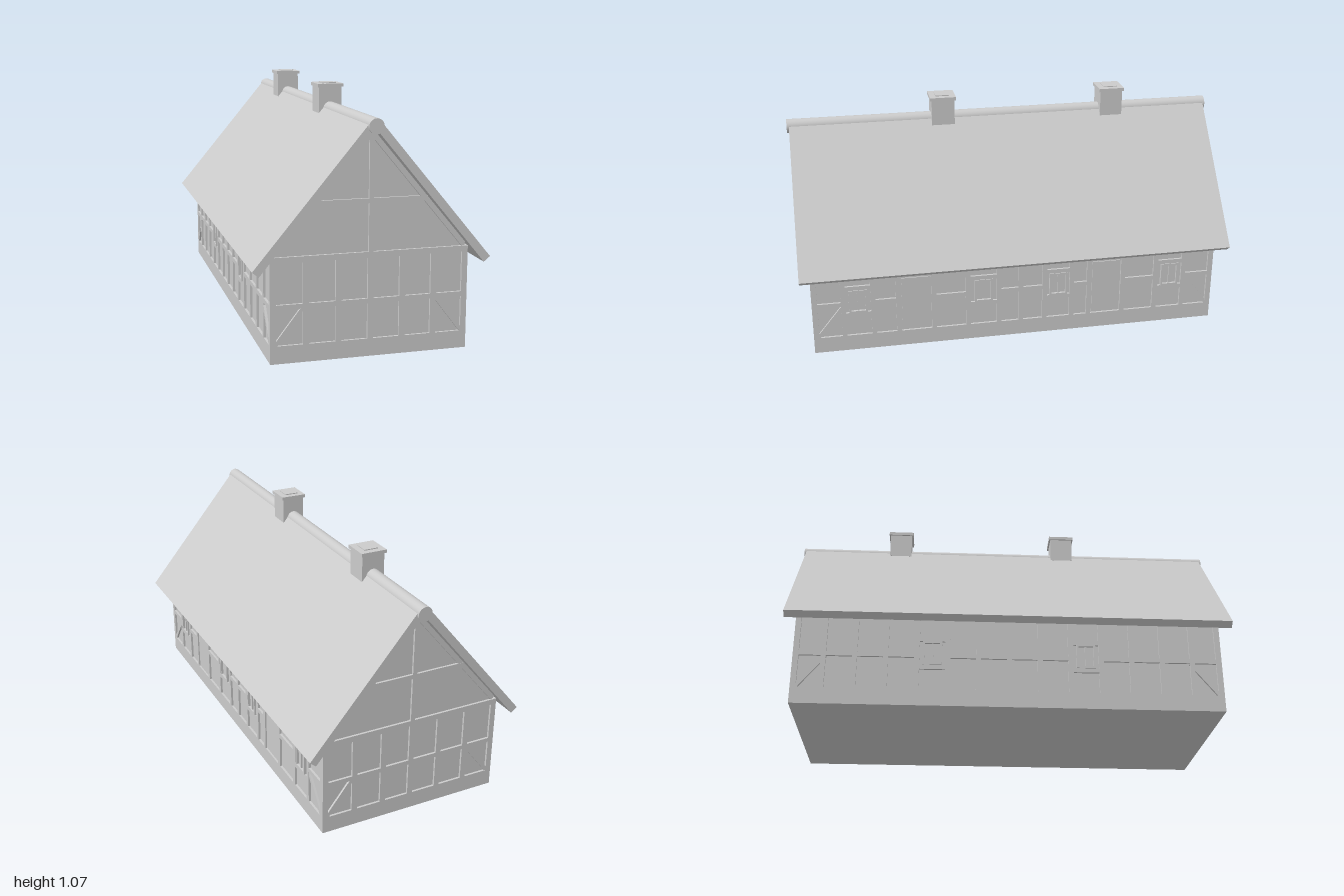
import * as THREE from 'three';

const material = new THREE.MeshStandardMaterial({ color: 0xcccccc, flatShading: true });
const smooth = new THREE.MeshStandardMaterial({ color: 0xcccccc });
const DEPTH = 0.01; // how far the timbers stand out from the infill
const T = 0.025;    // timber width

function add(parent, name, geometry, mat = material) {
  const mesh = new THREE.Mesh(geometry, mat);
  mesh.name = name;
  parent.add(mesh);
  return mesh;
}

function box(parent, name, x0, x1, y0, y1, z0, z1) {
  const mesh = add(parent, name, new THREE.BoxGeometry(x1 - x0, y1 - y0, z1 - z0));
  mesh.position.set((x0 + x1) / 2, (y0 + y1) / 2, (z0 + z1) / 2);
  return mesh;
}

// Outline in x and y pulled along z, centred on z = 0
function prism(parent, name, points, length) {
  const shape = new THREE.Shape(points.map(([x, y]) => new THREE.Vector2(x, y)));
  const geometry = new THREE.ExtrudeGeometry(shape, { depth: length, bevelEnabled: false });
  geometry.translate(0, 0, -length / 2);
  return add(parent, name, geometry);
}

// Flat timber on a wall; wall-local x runs along it and z = 0 is the infill
const timber = (wall, name, x0, x1, y0, y1, d = DEPTH) =>
  box(wall, name, x0, x1, y0, y1, -0.005, d);

// Slanting timber between two points of a wall
function brace(wall, name, [x0, y0], [x1, y1], width) {
  const length = Math.hypot(x1 - x0, y1 - y0);
  const mesh = add(wall, name, new THREE.BoxGeometry(length, width, DEPTH));
  mesh.position.set((x0 + x1) / 2, (y0 + y1) / 2, DEPTH / 2 - 0.0005);
  mesh.rotation.z = Math.atan2(y1 - y0, x1 - x0);
}

function makeWall(house, name, turn, distance) {
  const wall = new THREE.Group();
  wall.name = name;
  wall.rotation.y = turn;
  wall.position.set(Math.sin(turn) * distance, 0, Math.cos(turn) * distance);
  house.add(wall);
  return wall;
}

// Sill, corner posts, top plate and the braces in the lower outer bays
function outerFrame(wall, half, bay) {
  timber(wall, 'sill', -half, half, 0, 0.075);
  timber(wall, 'topPlate', -half, half, 0.415, 0.44);
  for (const s of [-1, 1]) {
    const inner = half - T;
    timber(wall, 'cornerPost', Math.min(s * half, s * inner), Math.max(s * half, s * inner), 0.075, 0.43);
    brace(wall, 'cornerBrace', [s * (inner + 0.005), 0.075], [s * (half - bay), 0.225], 0.016);
  }
}

function makeGable(house, name, turn) {
  const wall = makeWall(house, name, turn, 0.935);
  outerFrame(wall, 0.42, 0.135);
  for (let i = -2; i <= 2; i++) {
    const x = i * 0.1355;
    timber(wall, 'post', x - T / 2, x + T / 2, 0.075, 0.415);
  }
  timber(wall, 'midRail', -0.4, 0.4, 0.225, 0.245);
  timber(wall, 'kingPost', -0.01, 0.01, 0.44, 0.92);
  timber(wall, 'collarBeam', -0.24, 0.24, 0.64, 0.66);
  for (const s of [-1, 1]) brace(wall, 'rakeBeam', [s * 0.4, 0.448], [s * 0.004, 0.92], 0.022);
}

// Framed opening with a recessed pane and an optional centre bar
function makeWindow(wall, x, bar) {
  const w = 0.042, f = 0.009, y0 = 0.19, y1 = 0.302, d = DEPTH + 0.004;
  const group = new THREE.Group();
  group.name = 'window';
  wall.add(group);
  timber(group, 'windowPane', x - w, x + w, y0, y1, 0.003);
  timber(group, 'windowSide', x - w, x - w + f, y0, y1, d);
  timber(group, 'windowSide', x + w - f, x + w, y0, y1, d);
  timber(group, 'windowSill', x - w, x + w, y0, y0 + f, d);
  timber(group, 'windowHead', x - w, x + w, y1 - f, y1, d);
  if (bar) timber(group, 'windowBar', x - 0.004, x + 0.004, y0, y1, DEPTH);
}

// posts: positions along the wall; kinds: the fill of each bay
// ('p' panel, 'w' barred window, 'o' plain window, 'd' door)
function makeLongWall(house, name, turn, posts, kinds) {
  const wall = makeWall(house, name, turn, 0.41);
  outerFrame(wall, 0.945, 0.14);
  for (const x of posts) timber(wall, 'post', x - 0.011, x + 0.011, 0.075, 0.415);
  const edges = [-0.931, ...posts, 0.931];
  [...kinds].forEach((kind, i) => {
    const a = edges[i], b = edges[i + 1], mid = (a + b) / 2;
    if (kind === 'd') {
      timber(wall, 'doorLeaf', a + 0.016, b - 0.016, 0.08, 0.34, 0.005);
      timber(wall, 'doorLintel', a, b, 0.345, 0.367);
    } else if (kind === 'p') {
      timber(wall, 'midRail', a, b, 0.225, 0.245);
    } else {
      timber(wall, 'lowerRail', a, b, 0.17, 0.19);
      timber(wall, 'upperRail', a, b, 0.302, 0.322);
      makeWindow(wall, mid, kind === 'w');
    }
  });
}

function makeChimney(house, z) {
  const chimney = new THREE.Group();
  chimney.name = 'chimney';
  chimney.position.z = z;
  house.add(chimney);
  box(chimney, 'chimneyShaft', -0.053, 0.053, 0.935, 1.055, -0.053, 0.053);
  box(chimney, 'chimneyCap', -0.06, 0.06, 1.052, 1.067, -0.06, 0.06);
  box(chimney, 'chimneyTop', -0.032, 0.032, 1.06, 1.071, -0.032, 0.032);
}

export function createModel() {
  const house = new THREE.Group();
  house.name = 'timberFramedHouse';

  // Infill body under the timbers
  prism(house, 'body', [[-0.41, 0], [0.41, 0], [0.41, 0.448], [0, 0.94], [-0.41, 0.448]], 1.87);

  makeGable(house, 'frontGable', 0);
  makeGable(house, 'backGable', Math.PI);
  makeLongWall(house, 'leftWall', Math.PI / 2,
    [-0.805, -0.67, -0.556, -0.394, -0.235, -0.09, 0.012, 0.125, 0.255, 0.338, 0.502, 0.662, 0.8],
    'pwpdpoppwpdpwp');
  const even = Array.from({ length: 13 }, (_, i) => (i - 6) * 0.1355);
  makeLongWall(house, 'rightWall', -Math.PI / 2, even, 'ppppwppppwpppp');

  // Two roof slabs meeting under the round ridge
  prism(house, 'roofLeft', [[0, 0.945], [0.473, 0.378], [0.5, 0.4], [0.026, 0.967]], 1.98);
  prism(house, 'roofRight', [[0, 0.945], [-0.026, 0.967], [-0.5, 0.4], [-0.473, 0.378]], 1.98);
  const ridge = add(house, 'ridge', new THREE.CylinderGeometry(0.032, 0.032, 2, 20), smooth);
  ridge.rotation.x = Math.PI / 2;
  ridge.position.y = 0.955;

  for (const z of [0.285, -0.52]) makeChimney(house, z);
  return house;
}
